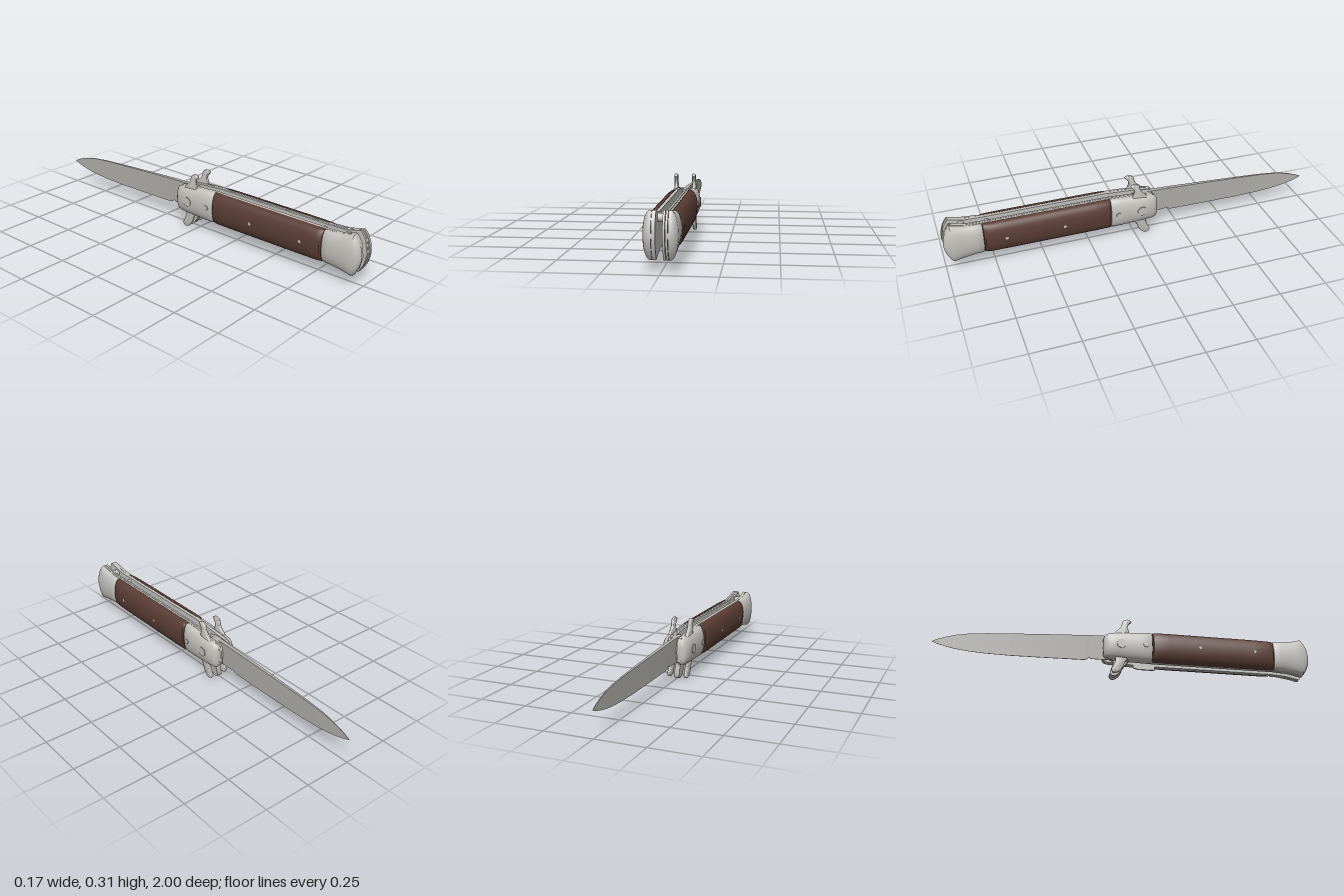
import * as THREE from 'three';
import { toCreasedNormals } from 'three/addons/utils/BufferGeometryUtils.js';

const silver = new THREE.MeshStandardMaterial({ color: 0xc2c1bc });
silver.name = 'polished steel';
const steel = new THREE.MeshStandardMaterial({ color: 0xb2b1ac });
steel.name = 'blade steel';
const wood = new THREE.MeshStandardMaterial({ color: 0x5a3d34 });
wood.name = 'brown wood';

// Skin closed rings (bottom, +x, top, -x) that run towards +z
function loft(rings, flip = false, crease = 0.6) {
  const n = rings[0].length, pos = rings.flat(2), idx = [];
  const tri = (a, b, c) => (flip ? idx.push(a, c, b) : idx.push(a, b, c));
  for (let i = 0; i < rings.length - 1; i++) {
    for (let j = 0; j < n; j++) {
      const a = i * n + j, b = i * n + (j + 1) % n;
      tri(a, b, b + n);
      tri(a, b + n, a + n);
    }
  }
  const last = (rings.length - 1) * n;
  for (let j = 1; j < n - 1; j++) {
    tri(0, j + 1, j);
    tri(last, last + j, last + j + 1);
  }
  const g = new THREE.BufferGeometry();
  g.setAttribute('position', new THREE.Float32BufferAttribute(pos, 3));
  g.setIndex(idx);
  return toCreasedNormals(g, crease);
}

// Half-round slab on one side; stations are [z, bottom, top, bulge]
function dome(stations, side, x0 = 0.036, edge = 0.004) {
  const steps = 20;
  const rings = stations.map(([z, lo, hi, h]) => {
    const mid = (lo + hi) / 2, half = (hi - lo) / 2;
    const ring = [[side * x0, lo, z]];
    for (let k = 0; k <= steps; k++) {
      const t = (k / steps) * Math.PI;
      const bulge = h * Math.pow(Math.max(0, Math.sin(t)), 0.85);
      ring.push([side * (x0 + edge + bulge), mid - half * Math.cos(t), z]);
    }
    ring.push([side * x0, hi, z]);
    return ring;
  });
  return loft(rings, side < 0);
}

// Flat plate from a (z, y) outline, between two x positions
function plate(points, x0, x1, { smooth = false, bevel = 0 } = {}) {
  let pts = points.map(([z, y]) => new THREE.Vector2(-z, y));
  if (smooth) {
    const curve = new THREE.CatmullRomCurve3(pts.map(p => new THREE.Vector3(p.x, p.y, 0)), true);
    pts = curve.getPoints(80).slice(0, -1).map(p => new THREE.Vector2(p.x, p.y));
  }
  const g = new THREE.ExtrudeGeometry(new THREE.Shape(pts), {
    depth: x1 - x0 - 2 * bevel, bevelEnabled: bevel > 0,
    bevelThickness: bevel, bevelSize: bevel, bevelOffset: -bevel, bevelSegments: 4,
  });
  g.rotateY(Math.PI / 2).translate(x0 + bevel, 0, 0);
  return toCreasedNormals(g, 0.7);
}

export function createModel() {
  const model = new THREE.Group();
  model.name = 'foldingKnife';
  const add = (name, geometry, material) => {
    const m = new THREE.Mesh(geometry, material);
    m.name = name;
    model.add(m);
    return m;
  };
  // Round pin lying along x
  const pin = (name, r, x0, x1, y, z) => {
    const g = new THREE.CylinderGeometry(r, r, Math.abs(x1 - x0), 20);
    g.rotateZ(Math.PI / 2).translate((x0 + x1) / 2, y, z);
    add(name, g, silver);
  };

  // Blade: wedge section, thinning towards the tip; [z, edge, spine, half width]
  const blade = [
    [-1, 0.129, 0.131, 0.0005], [-0.97, 0.117, 0.146, 0.001], [-0.93, 0.106, 0.161, 0.0017],
    [-0.88, 0.096, 0.175, 0.0025], [-0.82, 0.088, 0.186, 0.0035], [-0.73, 0.082, 0.195, 0.0045],
    [-0.6, 0.079, 0.203, 0.006], [-0.4, 0.081, 0.214, 0.008], [-0.215, 0.084, 0.223, 0.01],
    [-0.2, 0.091, 0.224, 0.01], [-0.19, 0.1, 0.2245, 0.01], [-0.18, 0.092, 0.225, 0.01],
    [-0.06, 0.092, 0.228, 0.0115],
  ];
  add('blade', loft(blade.map(([z, lo, hi, w]) =>
    [[-w * 0.2, lo, z], [w * 0.2, lo, z], [w, hi, z], [-w, hi, z]])), steel);

  // Blade tang with its lower kick
  add('tang', plate([
    [-0.09, 0.22], [-0.03, 0.225], [0.02, 0.205], [0.042, 0.16], [0.03, 0.11], [-0.005, 0.06],
    [-0.035, 0.015], [-0.06, 0.0], [-0.08, 0.008], [-0.075, 0.04], [-0.065, 0.08], [-0.1, 0.12],
  ], -0.014, 0.014, { smooth: true }), steel);

  // Liners along the whole handle
  const liner = [
    [-0.1, 0.225], [-0.12, 0.2], [-0.122, 0.15], [-0.118, 0.1], [-0.1, 0.085], [0, 0.08],
    [0.14, 0.076], [0.8, 0.078], [0.88, 0.073], [0.96, 0.056], [0.985, 0.1], [0.998, 0.16],
    [0.985, 0.23], [0.96, 0.268], [0.88, 0.248], [0.8, 0.245], [0.14, 0.245], [0, 0.235],
  ];
  add('leftInnerLiner', plate(liner, 0.012, 0.022), silver);
  add('leftOuterLiner', plate(liner, 0.024, 0.034), silver);
  add('rightLiner', plate(liner, -0.035, -0.018), silver);
  add('lockTab', plate([[0.045, 0.08], [0.045, 0.064], [0.07, 0.056], [0.16, 0.056], [0.16, 0.08]],
    0.012, 0.022), silver);

  // Spacer pins between the liners
  pin('rearSpacer', 0.02, -0.02, 0.02, 0.227, 0.9);
  pin('middleSpacer', 0.014, -0.02, 0.02, 0.218, 0.77);
  pin('pivotPin', 0.02, -0.05, 0.05, 0.16, -0.03);

  // Swept guard outline, upper horn back and lower horn forward
  const guard = [
    [0.026, 0.3], [0.005, 0.312], [-0.018, 0.303], [-0.032, 0.265], [-0.06, 0.235], [-0.085, 0.2],
    [-0.075, 0.13], [-0.058, 0.08], [-0.068, 0.045], [-0.08, 0.018], [-0.068, 0.003],
    [-0.045, 0.006], [-0.022, 0.03], [-0.005, 0.07], [0.025, 0.11], [0.03, 0.18],
    [0.015, 0.235], [0.006, 0.265], [0.012, 0.284],
  ];

  for (const side of [1, -1]) {
    const label = side > 0 ? 'left' : 'right';

    add(label + 'Scale', dome([
      [0.138, 0.08, 0.242, 0.03], [0.143, 0.078, 0.244, 0.037], [0.16, 0.077, 0.245, 0.042],
      [0.22, 0.076, 0.246, 0.044], [0.7, 0.077, 0.246, 0.044], [0.77, 0.077, 0.245, 0.042],
      [0.793, 0.079, 0.244, 0.037], [0.8, 0.081, 0.242, 0.029],
    ], side), wood);

    add(label + 'FrontBolster', dome([
      [-0.122, 0.125, 0.185, 0.006], [-0.118, 0.1, 0.208, 0.017], [-0.11, 0.09, 0.219, 0.025],
      [-0.09, 0.085, 0.227, 0.033], [-0.05, 0.083, 0.233, 0.036], [0, 0.08, 0.236, 0.037],
      [0.08, 0.077, 0.241, 0.037], [0.125, 0.077, 0.244, 0.036], [0.136, 0.08, 0.242, 0.029],
    ], side), silver);

    add(label + 'RearBolster', dome([
      [0.802, 0.082, 0.242, 0.028], [0.81, 0.079, 0.245, 0.034], [0.84, 0.078, 0.246, 0.036],
      [0.88, 0.073, 0.249, 0.037], [0.92, 0.066, 0.257, 0.037], [0.96, 0.056, 0.268, 0.036],
      [0.975, 0.076, 0.25, 0.032], [0.988, 0.1, 0.225, 0.026], [0.996, 0.125, 0.197, 0.017],
      [1, 0.146, 0.176, 0.008],
    ], side), silver);

    const [g0, g1] = side > 0 ? [0.037, 0.056] : [-0.056, -0.037];
    add(label + 'Guard', plate(guard, g0, g1, { smooth: true, bevel: 0.007 }), silver);

    // Pivot head, button and scale pins
    pin(label + 'PivotHead', 0.025, side * 0.06, side * 0.08, 0.158, -0.03);
    pin(label + 'Button', 0.014, side * 0.06, side * 0.081, 0.16, 0.1);
    for (const z of [0.39, 0.69]) pin(label + 'ScalePin', 0.008, side * 0.07, side * 0.085, 0.161, z);
  }
  return model;
}
